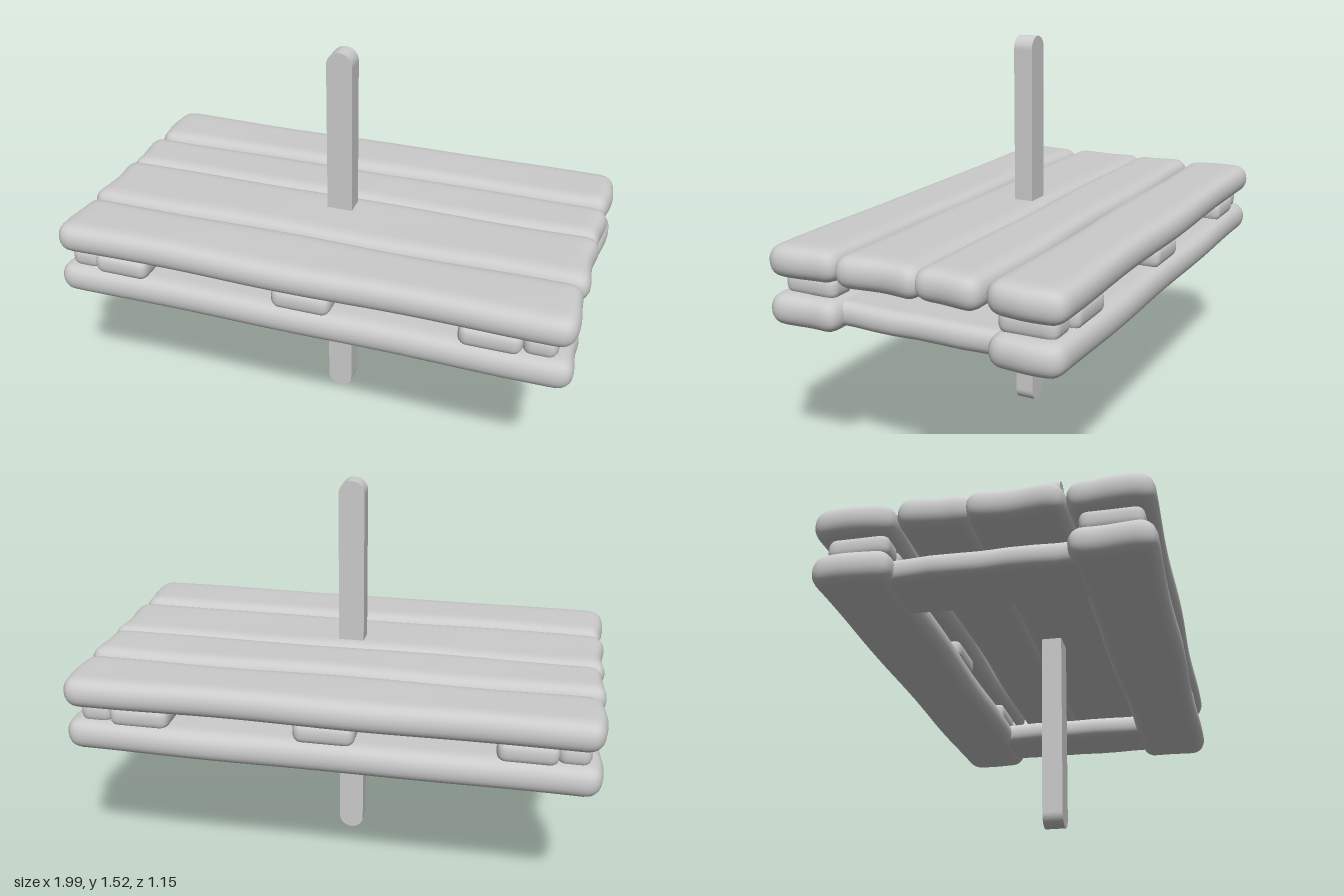
import * as THREE from 'three';
import { mergeVertices } from 'three/addons/utils/BufferGeometryUtils.js';

const material = new THREE.MeshStandardMaterial({ color: 0xcccccc });

// Rounded, slightly uneven slab filling the given min / max ranges
function slab(name, [x0, x1], [y0, y1], [z0, z1], radius, wobble = 0, seed = 0) {
  const half = [(x1 - x0) / 2, (y1 - y0) / 2, (z1 - z0) / 2];
  let geo = new THREE.BoxGeometry(2, 2, 2, 36, 10, 16);
  geo.deleteAttribute('normal');
  geo.deleteAttribute('uv');
  geo = mergeVertices(geo);
  const pos = geo.attributes.position;
  const p = new THREE.Vector3(), q = new THREE.Vector3();
  const inner = new THREE.Vector3(...half.map(h => Math.max(h - radius, 0)));
  for (let i = 0; i < pos.count; i++) {
    // crowd the grid lines toward the edges, then round the edges off
    p.fromBufferAttribute(pos, i);
    p.set(...p.toArray().map((v, k) => half[k] * Math.sin(v * Math.PI / 2)));
    q.copy(p).clamp(inner.clone().negate(), inner);
    p.sub(q).setLength(radius).add(q);
    // hand-hewn unevenness along the sides and at the ends
    const x = p.x, z = p.z;
    p.z += wobble * Math.sin(x * 7 + seed * 2.1) * z / half[2];
    p.x += wobble * 1.5 * Math.sin(z * 22 + seed * 1.7) * x / half[0];
    p.y += wobble * 0.4 * Math.sin(x * 5 + z * 9 + seed);
    pos.setXYZ(i, p.x, p.y, p.z);
  }
  geo.computeVertexNormals();
  const mesh = new THREE.Mesh(geo, material);
  mesh.name = name;
  mesh.position.set((x0 + x1) / 2, (y0 + y1) / 2, (z0 + z1) / 2);
  return mesh;
}

export function createModel() {
  const model = new THREE.Group();
  model.name = 'plankPlatform';

  // Deck: four long planks, the middle pair overlapping
  const deckRows = [[-0.57, -0.29], [-0.283, -0.02], [-0.05, 0.285], [0.287, 0.57]];
  deckRows.forEach((z, i) =>
    model.add(slab('deckPlank', [-0.99, 0.99], [0.756, 0.875], z, 0.056, 0.004, i + 1)));

  // Lower frame: a runner along the front and the back
  for (const s of [-1, 1]) {
    const z = s > 0 ? [0.29, 0.57] : [-0.57, -0.287];
    model.add(slab('lowerRunner', [-0.99, 0.99], [0.58, 0.7], z, 0.056, 0.004, 6 + s));
  }

  // Cross boards joining the runners near each end
  for (const x of [[-0.93, -0.65], [0.65, 0.93]])
    model.add(slab('crossBoard', x, [0.594, 0.685], [-0.45, 0.45], 0.042, 0.003, 3));

  // Spacer blocks between runners and deck
  const blocks = [[-0.95, -0.83], [-0.84, -0.62], [-0.115, 0.115], [0.585, 0.815], [0.81, 0.935]];
  blocks.forEach((x, i) => {
    const inset = i === 0 || i === 4 ? 0.02 : 0;
    for (const z of [[0.32, 0.555 - inset], [-0.545 + inset, -0.31]])
      model.add(slab('spacerBlock', x, [0.685, 0.772], z, 0.035));
  });

  // Upright post through the deck, with half-round ends
  const r = 0.05, height = 1.52;
  const outline = new THREE.Shape();
  outline.absarc(0, height - r, r, 0, Math.PI, false);
  outline.absarc(0, r, r, Math.PI, Math.PI * 2, false);
  outline.closePath();
  const post = new THREE.Mesh(
    new THREE.ExtrudeGeometry(outline, { depth: 0.077, bevelEnabled: false, curveSegments: 16 }),
    material);
  post.name = 'post';
  post.position.z = 0.013;
  model.add(post);

  return model;
}
